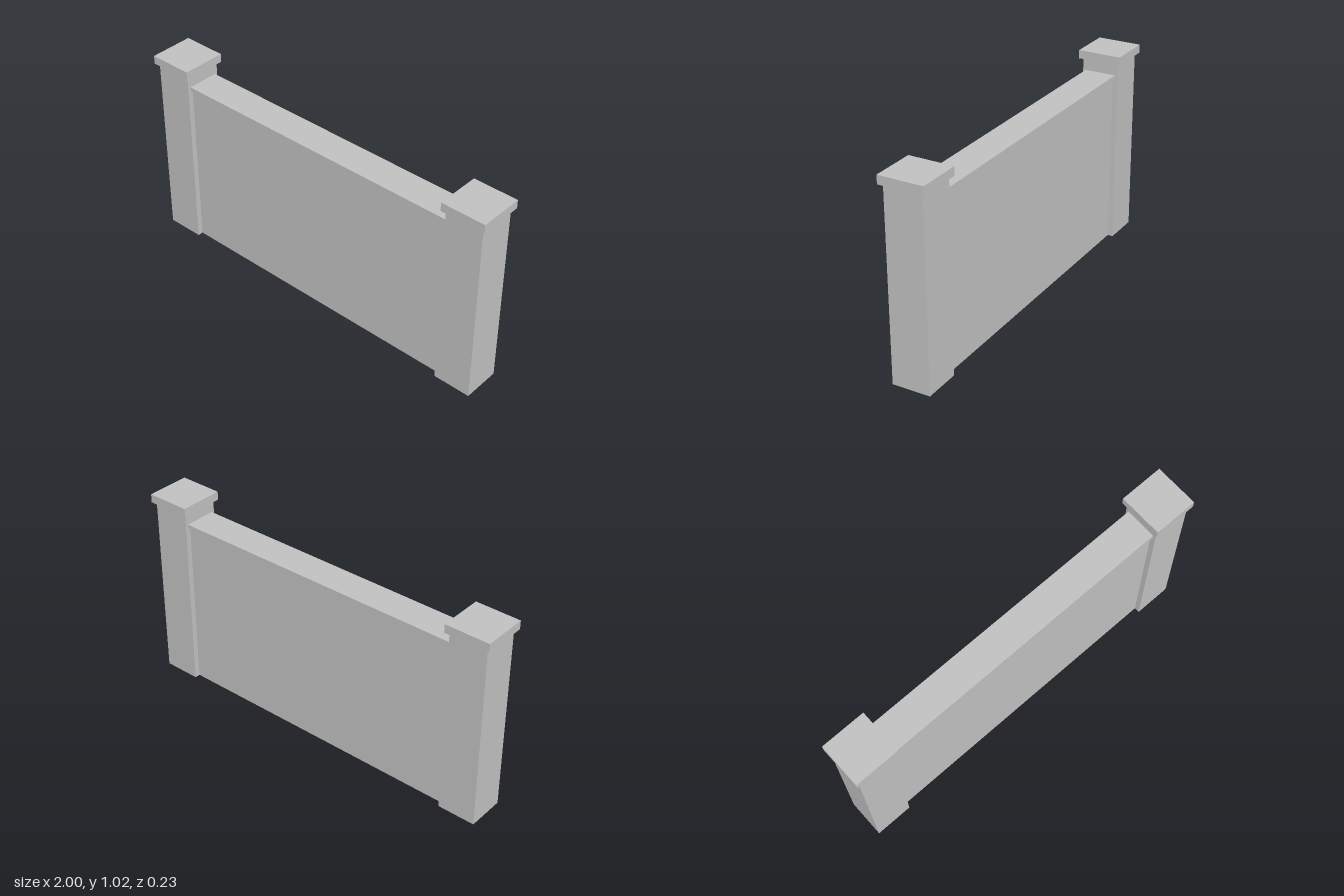
import * as THREE from 'three';

export function createModel() {
  const model = new THREE.Group();
  model.name = 'wallWithPillars';

  const stone = new THREE.MeshStandardMaterial({ color: 0xc0c0c0 });
  stone.name = 'grey stone';

  // Adds a box of the given size, centred on x and z = 0, with its base at y
  function addBox(name, width, height, depth, x, y) {
    const mesh = new THREE.Mesh(new THREE.BoxGeometry(width, height, depth), stone);
    mesh.name = name;
    mesh.position.set(x, y + height / 2, 0);
    model.add(mesh);
  }

  // Wall panel and its slightly overhanging coping
  addBox('wallPanel', 1.572, 0.89, 0.14, 0, 0);
  addBox('wallCoping', 1.572, 0.02, 0.166, 0, 0.89);

  // End pillars, each with a square cap
  for (const [side, s] of [['left', 1], ['right', -1]]) {
    addBox(side + 'Pillar', 0.196, 0.972, 0.196, s * 0.884, 0);
    addBox(side + 'PillarCap', 0.23, 0.044, 0.23, s * 0.885, 0.972);
  }

  return model;
}
